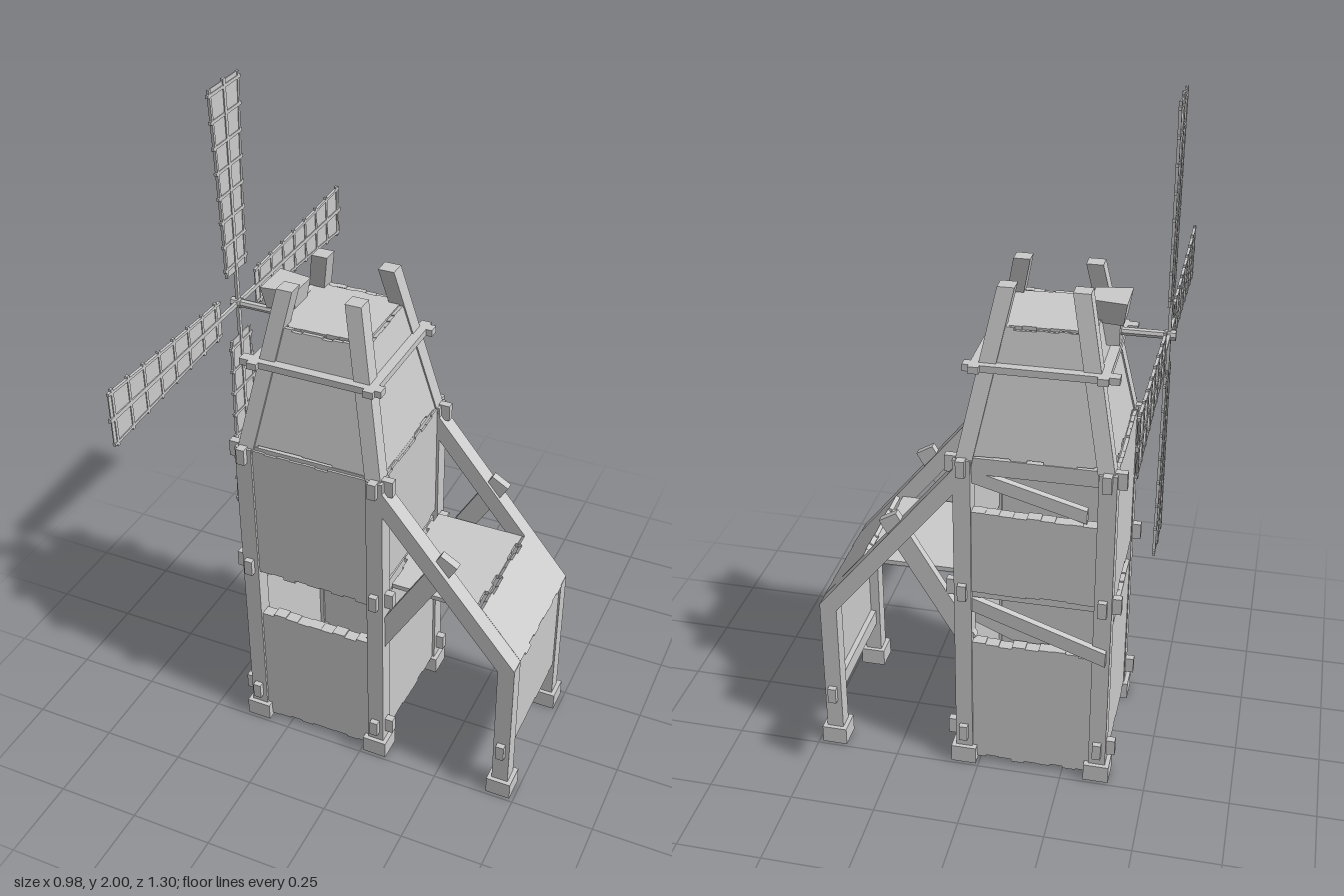
import * as THREE from 'three';
import { mergeGeometries } from 'three/addons/utils/BufferGeometryUtils.js';

const V = (x, y, z) => new THREE.Vector3(x, y, z);
const mat = new THREE.MeshStandardMaterial({ color: 0xcccccc, flatShading: true });

let seed = 7;
const rand = () => (seed = (seed * 16807) % 2147483647) / 2147483647;

// unit cube whose corners are moved by a rule f(u, v, w)
function mapped(f) {
  const g = new THREE.BoxGeometry(1, 1, 1), p = g.attributes.position;
  for (let i = 0; i < p.count; i++) {
    const q = f(p.getX(i) + 0.5, p.getY(i) + 0.5, p.getZ(i));
    p.setXYZ(i, q.x, q.y, q.z);
  }
  g.computeVertexNormals();
  return g;
}

// timber from a to b; e1 and e2 span its cut ends, so ends may be sheared
function beam(a, b, e1, e2) {
  const d = b.clone().sub(a);
  if (d.clone().cross(e1).dot(e2) < 0) e2 = e2.clone().negate();
  return mapped((u, v, w) => a.clone().addScaledVector(d, u).addScaledVector(e1, v - 0.5).addScaledVector(e2, w));
}

// row of uneven planks over a quad: bottom left, bottom right, top right, top left seen from outside
function planks(bl, br, tr, tl, n = 8, t = 0.02, ragged = 0.012) {
  const normal = br.clone().sub(bl).cross(tl.clone().sub(bl)).normalize();
  const h = tl.distanceTo(bl), list = [];
  for (let i = 0; i < n; i++) {
    const lo = (rand() * ragged) / h, hi = 1 - (rand() * ragged) / h;
    list.push(mapped((u, v, w) => {
      const s = (i + u) / n;
      const p = bl.clone().lerp(br, s), q = tl.clone().lerp(tr, s);
      return p.lerp(q, lo + v * (hi - lo)).addScaledVector(normal, w * t);
    }));
  }
  return mergeGeometries(list);
}

const block = (x, y, z, w, h, d) => new THREE.BoxGeometry(w, h, d).translate(x, y, z);

export function createModel() {
  const root = new THREE.Group();
  const add = (name, geo, parent = root) => {
    const m = new THREE.Mesh(geo, mat);
    m.name = name;
    parent.add(m);
    return m;
  };
  const XL = -0.355, XR = 0.045, XE = 0.45, Z = 0.203;
  const X = V(1, 0, 0), ZV = V(0, 0, 1);

  // posts, feet and tapering cap posts
  for (const s of [-1, 1]) {
    for (const [x, h] of [[XL, 1.03], [XR, 1.03], [XE, 0.5]]) {
      add('post', block(x, h / 2, s * Z, 0.05, h, 0.05));
      add('foot', block(x, 0.0275, s * Z, 0.075, 0.055, 0.075));
    }
    for (const [x0, x1] of [[XL, -0.255], [XR, -0.055]])
      add('capPost', beam(V(x0, 1, s * Z), V(x1, 1.5, s * 0.104), V(0.047, 0, 0), V(0, 0, 0.047)));
  }

  // through beams with ends showing outside the posts
  for (const y of [0.11, 0.61, 1.01]) {
    for (const s of [-1, 1]) add('railAlong', block(-0.155, y, s * Z, 0.5, 0.05, 0.022));
    for (const x of [XL, XR]) add('railAcross', block(x, y, 0, 0.025, 0.05, 0.49));
  }
  add('leanToRail', block(XE, 0.18, 0, 0.025, 0.05, 0.49));

  // tower walls
  const wall = (side, y0, y1) => {
    const P = {
      front: [V(-0.33, 0, Z), V(0.02, 0, Z)],
      back: [V(0.02, 0, -Z), V(-0.33, 0, -Z)],
      bladeSide: [V(XL - 0.005, 0, -0.18), V(XL - 0.005, 0, 0.18)],
      leanToSide: [V(XR, 0, 0.18), V(XR, 0, -0.18)],
    }[side];
    const at = (p, y) => p.clone().setY(y);
    add(side + 'Wall', planks(at(P[0], y0), at(P[1], y0), at(P[1], y1), at(P[0], y1), 9, 0.035));
  };
  wall('front', 0.01, 0.435);
  wall('front', 0.58, 1.03);
  wall('back', 0.01, 0.435);
  wall('back', 0.6, 0.87);
  wall('bladeSide', 0.04, 0.52);
  wall('bladeSide', 0.58, 1.03);
  wall('leanToSide', 0.05, 0.6);
  wall('leanToSide', 0.65, 1.03);

  // loose diagonal timbers at the back
  add('backBrace', beam(V(-0.37, 0.445, -0.235), V(0.04, 0.565, -0.205), V(0, 0.045, 0), V(0, 0, 0.022)));
  add('upperBackBrace', beam(V(-0.3, 0.885, -0.2), V(0.04, 0.98, -0.2), V(0, 0.04, 0), V(0, 0, 0.022)));
  add('innerBrace', beam(V(-0.2, 0.4, -0.165), V(0.04, 0.505, -0.165), V(0, 0.05, 0), V(0, 0, 0.022)));

  // lean-to: rafters, crossing braces, flat deck, sloped roof and end wall
  for (const s of [-1, 1]) {
    add('rafter', beam(V(0.055, 0.978, s * Z), V(0.474, 0.462, s * Z), V(0, 0.078, 0), V(0, 0, 0.05)));
    const a = V(0.035, 0.43, s * 0.2), b = V(0.263, 0.815, s * 0.2);
    const side = b.clone().sub(a).cross(ZV).setLength(0.058);
    add('leanToBrace', beam(a, b, side, V(0, 0, 0.025)));
  }
  add('leanToDeck', planks(V(0.06, 0.642, 0.178), V(0.06, 0.642, -0.178), V(0.35, 0.642, -0.178),
    V(0.35, 0.642, 0.178), 9, 0.014, 0.02).scale(1, 1, 1));
  add('leanToRoof', planks(V(0.475, 0.49, 0.178), V(0.475, 0.49, -0.178), V(0.345, 0.65, -0.178),
    V(0.345, 0.65, 0.178), 9, 0.014));
  add('leanToEndWall', planks(V(0.462, 0.17, 0.178), V(0.462, 0.17, -0.178), V(0.462, 0.505, -0.178),
    V(0.462, 0.505, 0.178), 9, 0.016));

  // tapered cap: sloping walls in two tiers, a ledge ring and a flat roof
  const corner = (sx, sz, y) => {
    const t = (y - 1) / 0.5;
    return V(-0.155 + sx * (0.212 - 0.1 * t), y, sz * (0.212 - 0.099 * t));
  };
  const around = [[-1, 1], [1, 1], [1, -1], [-1, -1]];
  for (let i = 0; i < 4; i++) {
    const a = around[i], b = around[(i + 1) % 4];
    for (const [y0, y1] of [[1.03, 1.285], [1.285, 1.395]])
      add('capWall', planks(corner(...a, y0), corner(...b, y0), corner(...b, y1), corner(...a, y1), 9, 0.014));
  }
  for (const s of [-1, 1]) {
    add('ledgeAlong', block(-0.16, 1.288, s * 0.172, 0.42, 0.02, 0.03));
    add('ledgeAcross', block(-0.155 + s * 0.172, 1.288, 0, 0.03, 0.02, 0.4));
  }
  add('capRoof', planks(V(-0.285, 1.386, 0.128), V(-0.025, 1.386, 0.128), V(-0.025, 1.386, -0.128),
    V(-0.285, 1.386, -0.128), 7, 0.014, 0.01));

  // hood over the shaft, wider at its top
  add('shaftHood', mapped((u, v, w) => {
    const k = v ? 1 : 0.8;
    return V(-0.315 + (u - 0.5) * 0.1 * k, 1.385 + v * 0.066, w * 0.12 * k * (u ? 0.75 : 1));
  }));
  add('shaftBlock', block(-0.315, 1.355, 0, 0.06, 0.07, 0.07));

  // shaft and hub
  const rotor = new THREE.Group();
  rotor.name = 'rotor';
  rotor.position.set(-0.472, 1.35, 0);
  root.add(rotor);
  add('shaft', new THREE.CylinderGeometry(0.012, 0.012, 0.19, 8).rotateZ(Math.PI / 2).translate(0.077, 0, 0), rotor);
  add('hub', new THREE.CylinderGeometry(0.015, 0.015, 0.03, 8).rotateZ(Math.PI / 2).translate(-0.003, 0, 0), rotor);

  // four sails: waisted cloth with lattice rails and bars
  const half = (r) => 0.054 + 0.024 * Math.pow((r - 0.1) / 0.545, 1.5);
  const R = [0.1, 0.2, 0.3, 0.4, 0.5, 0.58, 0.645];
  const cloth = new THREE.Shape([
    ...R.map((r) => new THREE.Vector2(half(r), r)),
    ...[...R].reverse().map((r) => new THREE.Vector2(-half(r), r)),
  ]);
  const clothGeo = new THREE.ExtrudeGeometry(cloth, { depth: 0.003, bevelEnabled: false })
    .translate(0, 0, -0.0015).rotateY(Math.PI / 2);
  const lattice = [block(0, 0.325, 0, 0.009, 0.65, 0.012)];
  for (let i = 0; i < 8; i++) {
    const r = 0.125 + i * 0.072;
    lattice.push(block(0, r, 0, 0.008, 0.009, 2 * half(r) + 0.014));
  }
  for (const s of [-1, 1])
    for (let i = 0; i < R.length - 1; i++)
      lattice.push(beam(V(0, R[i], s * (half(R[i]) - 0.004)), V(0, R[i + 1], s * (half(R[i + 1]) - 0.004)),
        X.clone().multiplyScalar(0.008), V(0, 0, 0.008)));
  const latticeGeo = mergeGeometries(lattice);
  for (let k = 0; k < 4; k++) {
    const sail = new THREE.Group();
    sail.name = 'sail';
    sail.rotation.x = (k * Math.PI) / 2;
    add('sailCloth', clothGeo, sail);
    add('sailLattice', latticeGeo, sail);
    rotor.add(sail);
  }
  return root;
}
